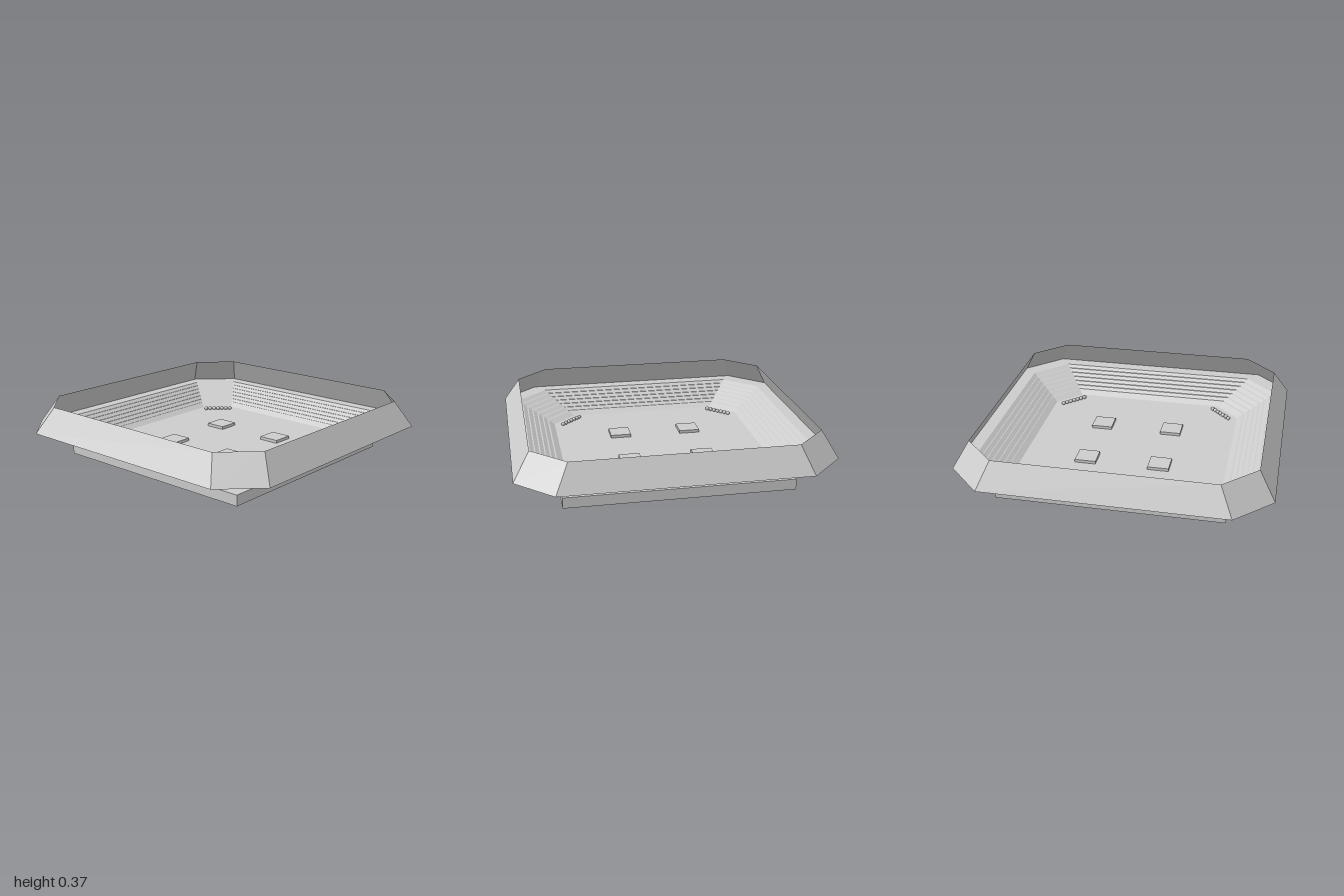
import * as THREE from 'three';

const OFF = -0.014; // base and floor sit slightly off the rim's centre

export function createModel() {
  const model = new THREE.Group();
  const mat = new THREE.MeshStandardMaterial({ color: 0xcccccc, flatShading: true });
  const thin = new THREE.MeshStandardMaterial({ color: 0xcccccc, flatShading: true, side: THREE.DoubleSide });

  const add = (name, geo, x, y, z, parent = model, material = mat) => {
    const mesh = new THREE.Mesh(geo, material);
    mesh.name = name;
    mesh.position.set(x, y, z);
    parent.add(mesh);
    return mesh;
  };

  // Octagon with cut corners: half width r, corners cut at 0.77 r
  const octagon = ([r, y, o]) => {
    const c = r * 0.77;
    return [[c, r], [r, c], [r, -c], [c, -r], [-c, -r], [-r, -c], [-r, c], [-c, r]]
      .map(([x, z]) => [x + o, y, z + o]);
  };

  // Skin joining a run of octagons [half width, height, offset]
  const loft = (sections) => {
    const rings = sections.map(octagon);
    const pos = [];
    for (let i = 0; i < rings.length - 1; i++) {
      for (let k = 0; k < 8; k++) {
        const n = (k + 1) % 8;
        const a = rings[i][k], b = rings[i][n], c = rings[i + 1][n], d = rings[i + 1][k];
        pos.push(...a, ...b, ...c, ...a, ...c, ...d);
      }
    }
    const geo = new THREE.BufferGeometry();
    geo.setAttribute('position', new THREE.Float32BufferAttribute(pos, 3));
    geo.computeVertexNormals();
    return geo;
  };

  // Square base slab, its top is the floor
  add('baseSlab', new THREE.BoxGeometry(1.46, 0.07, 1.46), OFF, 0.035, OFF);

  // Sloping outer wall and the ledge under it
  add('rimWall', loft([[1, 0.2, 0], [0.9, 0.37, -0.005]]), 0, 0, 0, model, thin);
  add('rimLedge', loft([[1, 0.2, 0], [0.912, 0.2, -0.004]]), 0, 0, 0, model, thin);

  // Terraces: slanted steps with short flat treads, down to the floor
  const steps = [];
  for (let i = 0; i < 6; i++) {
    const r = 0.912 - 0.033 * i, y = 0.2 - 0.0175 * i, o = -0.004 - 0.0015 * i;
    steps.push([r, y, o], [r - 0.026, y - 0.0175, o]);
  }
  steps.push([0.714, 0.095, OFF], [0.675, 0.07, OFF]);
  add('terraces', loft(steps), 0, 0, 0, model, thin);

  // Four square pads and a diagonal row of studs in each corner
  const padGeo = new THREE.BoxGeometry(0.14, 0.02, 0.14);
  const studGeo = new THREE.SphereGeometry(0.014, 12, 8);
  const studMat = new THREE.MeshStandardMaterial({ color: 0xcccccc });
  for (const sx of [-1, 1]) {
    for (const sz of [-1, 1]) {
      add('pad', padGeo, OFF - 0.004 + sx * 0.244, 0.08, OFF - 0.004 + sz * 0.244);
      const row = new THREE.Group();
      row.name = 'studRow';
      model.add(row);
      for (let i = 0; i < 7; i++) {
        const t = i * 0.0213;
        add('stud', studGeo, OFF + sx * (0.487 + t), 0.08, OFF + sz * (0.615 - t), row, studMat);
      }
    }
  }
  return model;
}
